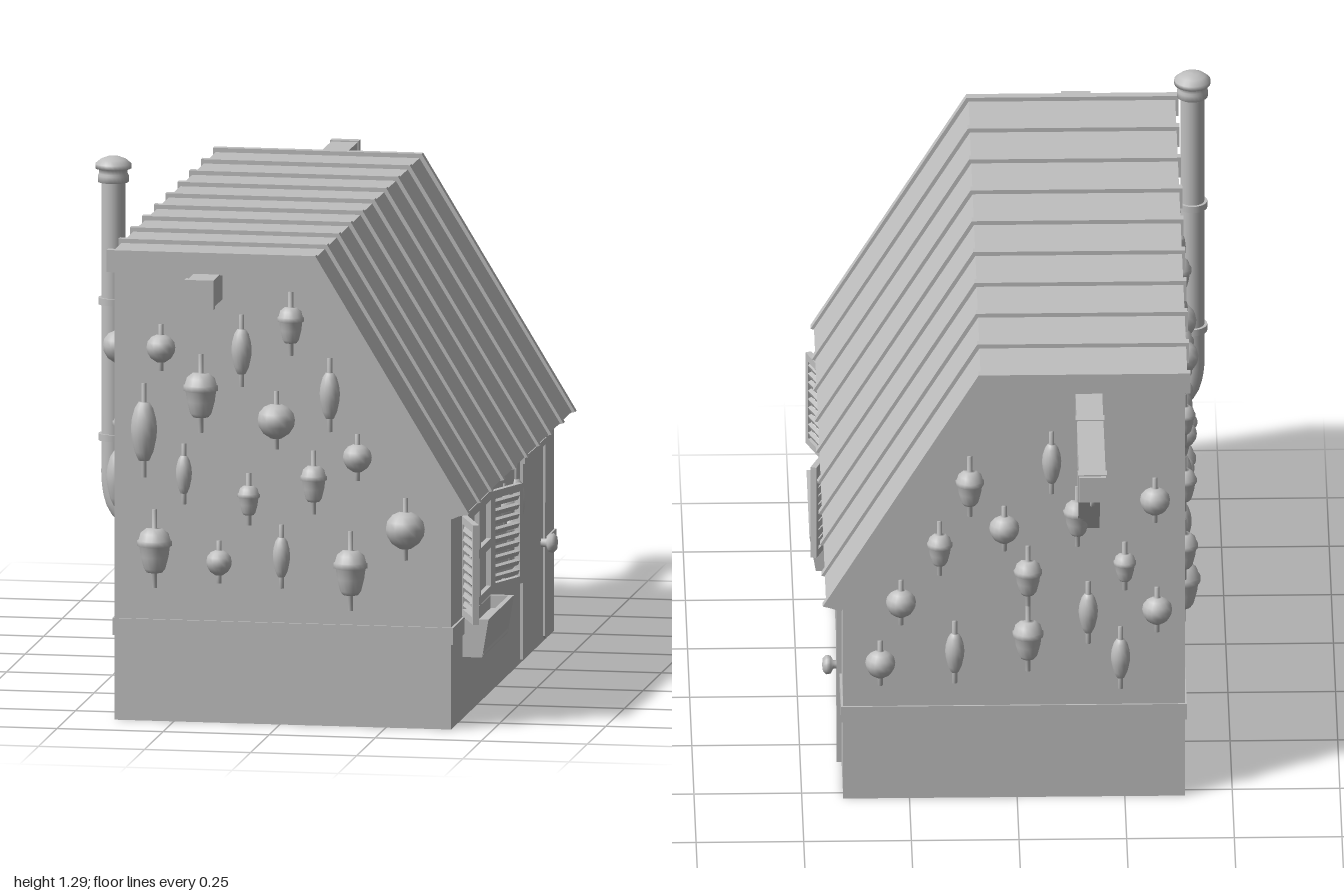
import * as THREE from 'three';

const mat = new THREE.MeshStandardMaterial({ color: 0xbfbfbf });
mat.name = 'plain grey';

function add(parent, name, geo, x = 0, y = 0, z = 0) {
  const m = new THREE.Mesh(geo, mat);
  m.name = name;
  m.position.set(x, y, z);
  parent.add(m);
  return m;
}
// box given by its min and max on each axis
function block(parent, name, x0, x1, y0, y1, z0, z1) {
  return add(parent, name, new THREE.BoxGeometry(x1 - x0, y1 - y0, z1 - z0),
    (x0 + x1) / 2, (y0 + y1) / 2, (z0 + z1) / 2);
}
const poly = pts => new THREE.Shape(pts.map(p => new THREE.Vector2(...p)));
const prism = (shape, depth) => new THREE.ExtrudeGeometry(shape, { depth, bevelEnabled: false });
const rect = (a, b, c, d) => [[a, c], [b, c], [b, d], [a, d]];
const lathe = (pts, n = 20) => new THREE.LatheGeometry(pts.map(p => new THREE.Vector2(...p)), n);

// fishing float: R round, A acorn shaped, S spindle; w = width, h = full height
function floatGeometry(type, w, h) {
  const r = w / 2, k = h / 2, s = Math.min(0.006, r * 0.3);
  const body = {
    R: [[0.3, -0.62], [0.7, -0.45], [0.95, -0.2], [1, 0.02], [0.92, 0.25], [0.65, 0.45], [0.3, 0.55]],
    A: [[0.45, -0.6], [0.62, -0.5], [0.8, -0.2], [0.88, 0.06], [1, 0.08], [1, 0.2], [0.92, 0.22], [0.8, 0.4], [0.45, 0.52]],
    S: [[0.4, -0.64], [0.72, -0.45], [0.95, -0.15], [1, 0.05], [0.92, 0.25], [0.7, 0.47], [0.4, 0.6]],
  }[type].map(([a, b]) => [a * r, b * k]);
  const lo = body[0][1], hi = body[body.length - 1][1];
  return lathe([[0, -k], [s, -k], [s, lo], ...body, [s, hi], [s, k], [0, k]], 16);
}

export function createModel() {
  const g = new THREE.Group();
  g.name = 'fishingHut';

  // walls
  const wall = poly([[-0.39, 0], [0.404, 0], [0.404, 0.515], [0.073, 1.065], [-0.39, 1.065]]);
  add(g, 'walls', prism(wall, 1.386), 0, 0, -0.53);
  block(g, 'trimBand', -0.394, 0.409, 0.2, 0.24, -0.534, 0.861);

  // roof slab and raised seams
  const slab = poly([[-0.395, 1.06], [0.073, 1.06], [0.41, 0.5], [0.444, 0.515], [0.085, 1.102], [-0.395, 1.102]]);
  add(g, 'roof', prism(slab, 1.446), 0, 0, -0.56);
  const seam = poly([[-0.402, 1.06], [0.073, 1.06], [0.408, 0.503], [0.452, 0.515], [0.09, 1.112], [-0.402, 1.112]]);
  for (let i = 0; i < 10; i++) add(g, 'roofSeam', prism(seam, 0.02), 0, 0, 0.873 - i * 0.1593);

  // hoist beam with brace, bands and ring
  block(g, 'beam', -0.197, -0.135, 0.998, 1.062, -0.995, 0.995);
  for (const z of [0.985, -0.69, -0.975]) block(g, 'beamBand', -0.2, -0.132, 0.995, 1.065, z - 0.012, z + 0.012);
  const brace = poly([[0.52, 0.685], [0.776, 1.0], [0.707, 1.0], [0.52, 0.78]]);
  add(g, 'brace', prism(brace, 0.05), -0.141, 0, 0).rotation.y = Math.PI / 2;
  g.children[g.children.length - 1].position.x = -0.191;
  add(g, 'hoistRing', new THREE.TorusGeometry(0.022, 0.005, 8, 20), -0.166, 0.992, -0.95).rotation.y = Math.PI / 2;

  // stove pipe with elbow, collars and cap
  const path = new THREE.CatmullRomCurve3([[-0.43, 1.24], [-0.43, 0.9], [-0.43, 0.6], [-0.429, 0.52], [-0.418, 0.475],
    [-0.395, 0.447], [-0.37, 0.435]].map(p => new THREE.Vector3(p[0], p[1], 0.64)));
  add(g, 'stovePipe', new THREE.TubeGeometry(path, 48, 0.028, 20));
  for (const y of [0.95, 0.63])
    add(g, 'pipeCollar', new THREE.CylinderGeometry(0.035, 0.035, 0.016, 24), -0.43, y, 0.64);
  add(g, 'pipeCap', lathe([[0.028, 1.23], [0.036, 1.23], [0.036, 1.245], [0.033, 1.25], [0.033, 1.262], [0.042, 1.262],
    [0.042, 1.273], [0.03, 1.283], [0.015, 1.289], [0, 1.29]], 24), -0.43, 0, 0.64);

  // panel on the side wall, drawn in (-z, y)
  const sidePanel = (name, outline, holes, x, depth) => {
    const s = poly(outline);
    s.holes = holes.map(h => new THREE.Path(h.map(p => new THREE.Vector2(...p))));
    add(g, name, prism(s, depth), x, 0, 0).rotation.y = Math.PI / 2;
  };

  // door
  block(g, 'door', 0.395, 0.411, 0.01, 0.485, -0.36, -0.07);
  sidePanel('doorFrame', [[0.34, 0.02], [0.36, 0.01], [0.36, 0.485], [0.07, 0.485], [0.07, 0.47], [0.345, 0.47]],
    [], 0.405, 0.011);
  const knob = add(g, 'doorKnob', lathe([[0.01, 0], [0.01, 0.014], [0.021, 0.02], [0.023, 0.03], [0.016, 0.038], [0, 0.04]]),
    0.409, 0.243, -0.32);
  knob.rotation.z = -Math.PI / 2;

  // window with four panes
  const panes = [];
  for (const u of [-0.675, -0.52]) for (const v of [0.26, 0.372]) panes.push(rect(u, u + 0.134, v, v + 0.091));
  sidePanel('windowFrame', rect(-0.7, -0.36, 0.24, 0.485), panes, 0.398, 0.018);

  // louvred shutters standing ajar
  for (const s of [1, -1]) {
    const sh = new THREE.Group();
    sh.name = 'shutter';
    const L = 0.138;
    const part = (name, y0, y1, a, b, t) =>
      block(sh, name, -t, t, y0, y1, Math.min(s * a, s * b), Math.max(s * a, s * b));
    part('shutterStile', 0.243, 0.478, 0, 0.014, 0.007);
    part('shutterStile', 0.243, 0.478, L - 0.014, L, 0.007);
    part('shutterRail', 0.243, 0.26, 0.014, L - 0.014, 0.007);
    part('shutterRail', 0.46, 0.478, 0.014, L - 0.014, 0.007);
    for (let i = 0; i < 9; i++) {
      const y = 0.272 + i * 0.022;
      part('shutterSlat', y - 0.006, y + 0.006, 0.014, L - 0.014, 0.005).rotation.z = -0.4;
    }
    sh.position.set(0.408, 0, s > 0 ? 0.7 : 0.36);
    sh.rotation.y = s * 0.37;
    g.add(sh);
  }

  // flower box: tapered trough with end plates
  const trough = poly([[0.4, 0.145], [0.45, 0.145], [0.465, 0.235], [0.453, 0.235], [0.44, 0.16], [0.412, 0.16], [0.412, 0.235], [0.4, 0.235]]);
  add(g, 'flowerBox', prism(trough, 0.34), 0, 0, 0.36);
  const end = poly([[0.4, 0.145], [0.45, 0.145], [0.465, 0.235], [0.4, 0.235]]);
  for (const z of [0.358, 0.69]) add(g, 'flowerBoxEnd', prism(end, 0.012), 0, 0, z);
  block(g, 'flowerBoxSoil', 0.41, 0.452, 0.15, 0.205, 0.365, 0.695);

  // floats on the front: type, x, y, width, height
  [['R', -0.28, 0.88, 0.068, 0.11], ['A', -0.186, 0.775, 0.082, 0.185], ['S', -0.09, 0.878, 0.048, 0.17],
    ['A', 0.026, 0.945, 0.062, 0.15], ['S', -0.32, 0.684, 0.062, 0.222], ['R', -0.008, 0.717, 0.088, 0.137],
    ['S', 0.118, 0.78, 0.048, 0.174], ['S', -0.226, 0.584, 0.038, 0.143], ['A', -0.073, 0.529, 0.052, 0.123],
    ['A', 0.08, 0.573, 0.062, 0.15], ['R', 0.183, 0.635, 0.068, 0.11], ['R', 0.296, 0.469, 0.092, 0.147],
    ['A', -0.295, 0.406, 0.082, 0.185], ['R', -0.143, 0.379, 0.06, 0.1], ['S', 0.004, 0.396, 0.041, 0.15],
    ['A', 0.167, 0.367, 0.08, 0.187],
  ].forEach(([t, x, y, w, h]) => add(g, 'frontFloat', floatGeometry(t, w, h), x, y, 0.857));

  // standard sizes for the other walls, scaled by k
  const sized = (t, k = 1) => {
    const [w, h] = { R: [0.07, 0.115], A: [0.066, 0.155], S: [0.045, 0.16] }[t];
    return floatGeometry(t, w * k, h * k);
  };

  // floats on the back: type, x, y, scale
  [['A', 0.11, 0.81], ['S', -0.08, 0.87], ['A', 0.18, 0.65, 0.9], ['R', 0.03, 0.7], ['A', -0.14, 0.73], ['R', 0.27, 0.51],
    ['A', -0.025, 0.576], ['R', -0.32, 0.77], ['S', 0.145, 0.38], ['A', -0.025, 0.415, 1.1], ['R', 0.318, 0.353],
    ['S', -0.165, 0.48], ['A', -0.25, 0.6, 0.8], ['R', -0.325, 0.486], ['S', -0.24, 0.362],
  ].forEach(([t, x, y, k]) => add(g, 'backFloat', sized(t, k), x, y, -0.532));

  // floats on the left side by the door: type, z, y, scale
  [['R', 0.155, 0.407, 0.95], ['A', 0.08, 0.334, 0.95], ['S', 0, 0.395, 1.08],
  ].forEach(([t, z, y, k]) => add(g, 'doorSideFloat', sized(t, k), 0.405, y, z));

  // floats on the long plain wall: type, z, y, scale
  [['A', -0.39, 0.57], ['S', -0.17, 0.53], ['A', -0.27, 0.42, 1.25], ['A', -0.43, 0.93, 0.8], ['R', -0.33, 0.84, 0.9],
    ['A', -0.41, 0.75, 0.9], ['S', -0.25, 0.87], ['R', -0.07, 0.91, 1.15], ['A', -0.135, 0.76, 1.1], ['S', -0.26, 0.7],
    ['R', -0.07, 0.62, 0.9], ['A', 0.105, 0.85], ['A', 0.05, 0.755, 0.9], ['A', 0.086, 0.605, 0.8], ['S', 0.24, 0.87],
    ['R', 0.2, 0.74, 0.9], ['A', 0.25, 0.47, 1.25], ['A', 0.365, 0.905], ['A', 0.27, 0.605], ['R', 0.433, 0.75, 1.3],
    ['S', 0.394, 0.62], ['R', 0.375, 0.49, 0.8], ['S', 0.45, 0.48, 1.35], ['S', 0.52, 0.895], ['A', 0.596, 0.645],
    ['R', 0.577, 0.45, 0.9], ['A', 0.69, 0.66], ['R', 0.79, 0.87, 1.1], ['S', 0.795, 0.56, 1.3],
  ].forEach(([t, z, y, k]) => add(g, 'longWallFloat', sized(t, k), -0.39, y, z));

  return g;
}
